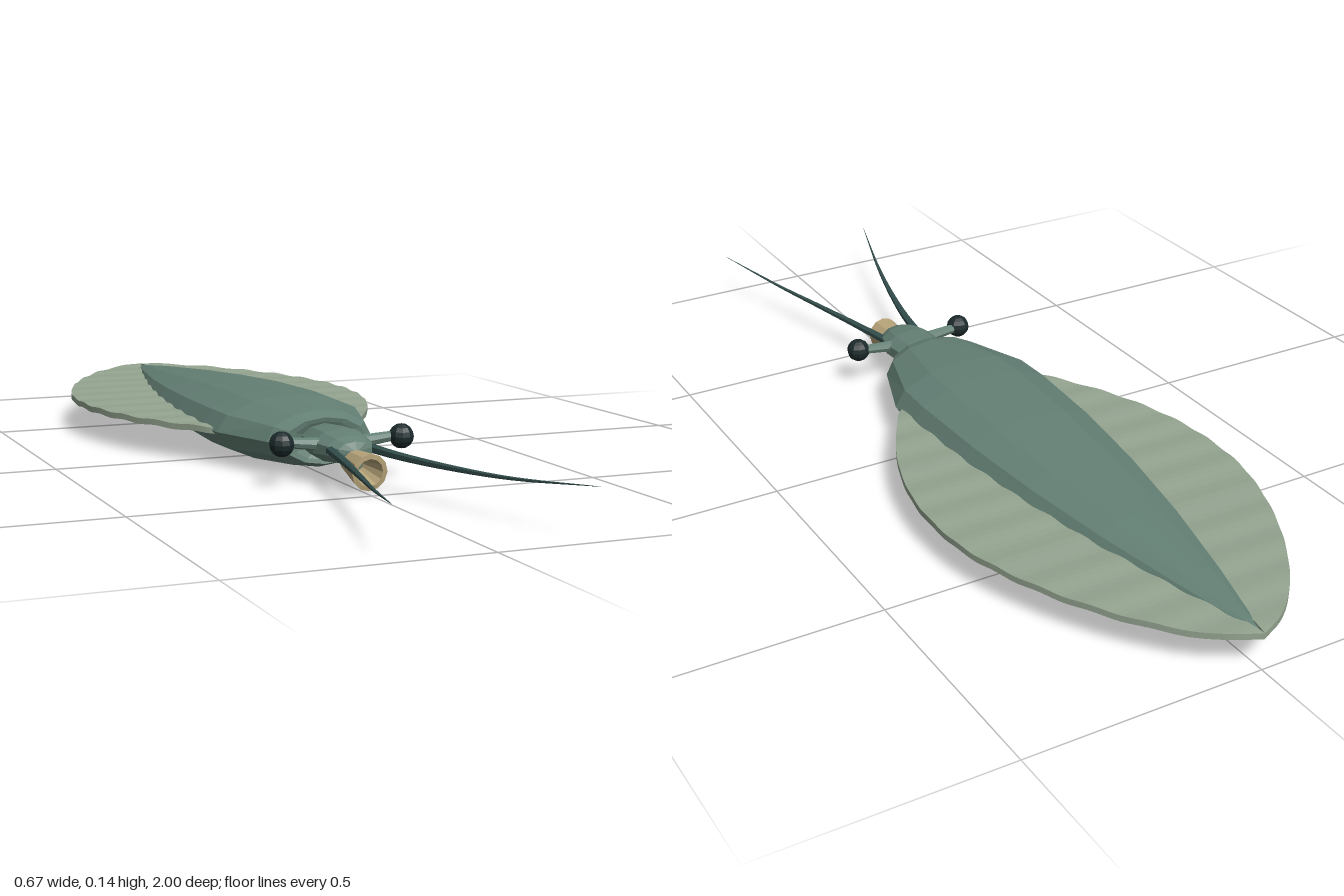
import * as THREE from 'three';

const CY = 0.0745;
const mat = (color, extra = {}) => new THREE.MeshStandardMaterial({ color, flatShading: true, ...extra });

function build(pos, idx) {
  const g = new THREE.BufferGeometry();
  g.setAttribute('position', new THREE.Float32BufferAttribute(pos, 3));
  g.setIndex(idx);
  g.computeVertexNormals();
  return g;
}

// Closed loft along z; sections are [z, radiusX, radiusY, centreY], ordered front to back
function loft(sections, sides) {
  const pos = [], idx = [];
  for (const [z, rx, ry, cy] of sections) {
    for (let i = 0; i < sides; i++) {
      const a = (i / sides) * Math.PI * 2;
      pos.push(rx * Math.sin(a), cy + ry * Math.cos(a), z);
    }
  }
  for (let s = 0; s < sections.length - 1; s++) {
    for (let i = 0; i < sides; i++) {
      const a = s * sides + i, b = s * sides + (i + 1) % sides, c = a + sides, d = b + sides;
      idx.push(a, b, c, b, d, c);
    }
  }
  return build(pos, idx);
}

// Gently rippled fin plate, swept from front to tail; side is +1 or -1
function finGeometry(side) {
  const outline = new THREE.CatmullRomCurve3([
    [0.12, 0.09], [0.175, 0.06], [0.215, 0], [0.268, -0.1], [0.305, -0.2], [0.327, -0.3], [0.333, -0.39],
    [0.325, -0.5], [0.292, -0.62], [0.25, -0.72], [0.2, -0.81], [0.135, -0.9], [0.06, -0.97], [0, -1],
  ].map(([x, z]) => new THREE.Vector3(x, 0, z)));
  const pos = [], idx = [], n = 88, half = 0.0065;
  for (let i = 0; i <= n; i++) {
    const p = outline.getPoint(i / n);
    const wave = 0.0015 * Math.sin(p.z * Math.PI * 20);
    const root = Math.min(p.x, 0.07 * Math.min(1, (p.z + 1) * 2));
    for (const [x, y] of [[root, half], [p.x, half], [p.x, -half], [root, -half]]) {
      pos.push(side * x, CY + y + wave, p.z);
    }
  }
  for (let i = 0; i < n; i++) {
    for (let k = 0; k < 4; k++) {
      const a = i * 4 + k, b = i * 4 + (k + 1) % 4, c = a + 4, d = b + 4;
      if (side > 0) idx.push(a, b, c, b, d, c);
      else idx.push(a, c, b, b, c, d);
    }
  }
  return build(pos, idx);
}

// Tube whose radius shrinks to a point at its end
function taperedTube(points, radius, segments, sides) {
  const curve = new THREE.CatmullRomCurve3(points);
  const g = new THREE.TubeGeometry(curve, segments, radius, sides);
  const p = g.attributes.position, v = new THREE.Vector3();
  for (let i = 0; i < p.count; i++) {
    const t = Math.floor(i / (sides + 1)) / segments;
    const c = curve.getPointAt(t);
    v.fromBufferAttribute(p, i).sub(c).multiplyScalar(1 - 0.97 * t).add(c);
    p.setXYZ(i, v.x, v.y, v.z);
  }
  g.computeVertexNormals();
  return g;
}

export function createModel() {
  const group = new THREE.Group();
  const skin = mat(0x648075);
  const finSkin = mat(0x94a490);
  const dark = mat(0x1c2a2b);
  const feeler = mat(0x34504e);
  const tan = mat(0xb8a57a, { side: THREE.DoubleSide });
  const add = (name, geometry, material, parent = group) => {
    const mesh = new THREE.Mesh(geometry, material);
    mesh.name = name;
    parent.add(mesh);
    return mesh;
  };

  // Long tapering body with a rounded collar at the front
  add('body', loft([
    [0.25, 0, 0, CY], [0.27, 0.075, 0.04, CY], [0.272, 0.092, 0.049, CY], [0.24, 0.118, 0.06, CY],
    [0.09, 0.172, 0.0715, CY], [0, 0.175, 0.0725, CY], [-0.2, 0.165, 0.067, CY],
    [-0.4, 0.141, 0.056, CY], [-0.6, 0.105, 0.042, CY], [-0.8, 0.057, 0.025, CY],
    [-0.95, 0.015, 0.009, CY], [-1, 0, 0, CY],
  ], 12), skin);

  // Head
  add('head', loft([
    [0.428, 0, 0, 0.077], [0.42, 0.038, 0.02, 0.077], [0.395, 0.053, 0.029, 0.077],
    [0.35, 0.064, 0.036, 0.077], [0.3, 0.057, 0.036, 0.077], [0.25, 0.052, 0.034, 0.076], [0.24, 0, 0, 0.076],
  ], 10), skin);

  // Fins, eyes and feelers in mirrored pairs
  for (const side of [1, -1]) {
    const label = side > 0 ? 'left' : 'right';
    add(label + 'Fin', finGeometry(side), finSkin);

    const stalk = add(label + 'EyeStalk', new THREE.CylinderGeometry(0.01, 0.014, 0.085, 8), skin);
    stalk.position.set(side * 0.083, 0.087, 0.35);
    stalk.rotation.z = -side * 1.47;
    const eye = add(label + 'Eye', new THREE.SphereGeometry(0.026, 10, 8), dark);
    eye.position.set(side * 0.132, 0.09, 0.357);

    add(label + 'Feeler', taperedTube([
      [0.042, 0.078, 0.39], [0.062, 0.076, 0.5], [0.097, 0.077, 0.65],
      [0.138, 0.082, 0.8], [0.198, 0.1, 1],
    ].map(([x, y, z]) => new THREE.Vector3(side * x, y, z)), 0.01, 18, 6), feeler);
  }

  // Flared, hollow siphon below the head
  const siphon = new THREE.Group();
  siphon.name = 'siphon';
  siphon.position.set(0, 0.058, 0.385);
  siphon.rotation.x = Math.PI / 2 + 0.11;
  group.add(siphon);
  const wall = [[0.02, 0], [0.025, 0.02], [0.038, 0.105], [0.028, 0.106], [0.013, 0.045]];
  add('siphonWall', new THREE.LatheGeometry(wall.map(([r, y]) => new THREE.Vector2(r, y)), 12), tan, siphon);
  const throat = add('siphonThroat', new THREE.CircleGeometry(0.013, 12), skin, siphon);
  throat.rotation.x = -Math.PI / 2;
  throat.position.y = 0.045;

  return group;
}
